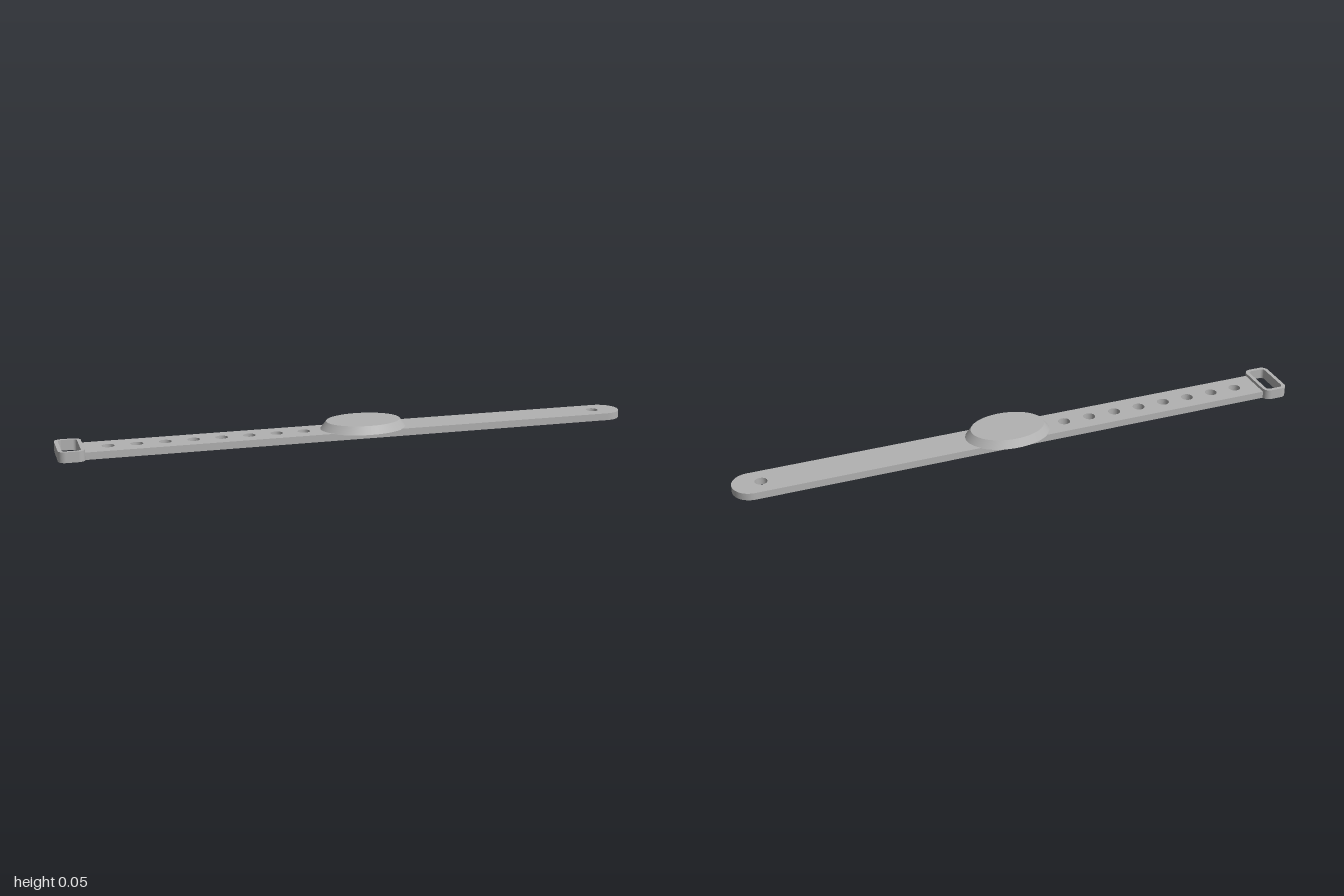
import * as THREE from 'three';

const grey = new THREE.MeshStandardMaterial({ color: 0xb2b2b2 });
grey.name = 'grey';

function circleHole(x, r) {
  return new THREE.Path().absarc(x, 0, r, 0, Math.PI * 2, true);
}

// Rounded rectangle centred on (cx, 0)
function roundedRect(path, cx, w, h, r) {
  const x0 = cx - w / 2, x1 = cx + w / 2, y = h / 2;
  path.moveTo(x0 + r, -y);
  path.lineTo(x1 - r, -y);
  path.absarc(x1 - r, -y + r, r, -Math.PI / 2, 0, false);
  path.lineTo(x1, y - r);
  path.absarc(x1 - r, y - r, r, 0, Math.PI / 2, false);
  path.lineTo(x0 + r, y);
  path.absarc(x0 + r, y - r, r, Math.PI / 2, Math.PI, false);
  path.lineTo(x0, -y + r);
  path.absarc(x0 + r, -y + r, r, Math.PI, Math.PI * 1.5, false);
  return path;
}

// Extrude a plan outline upward from y = 0
function plate(name, shape, height) {
  const geo = new THREE.ExtrudeGeometry(shape, { depth: height, bevelEnabled: false, curveSegments: 20 });
  geo.rotateX(-Math.PI / 2);
  const mesh = new THREE.Mesh(geo, grey);
  mesh.name = name;
  return mesh;
}

export function createModel() {
  const model = new THREE.Group();
  model.name = 'wristband';

  // Long strap with a round tip, a row of adjustment holes and one peg hole
  const half = 0.064;
  const strap = new THREE.Shape();
  strap.moveTo(-0.918, -half);
  strap.lineTo(1 - half, -half);
  strap.absarc(1 - half, 0, half, -Math.PI / 2, Math.PI / 2, false);
  strap.lineTo(-0.918, half);
  strap.closePath();
  for (let i = 0; i < 8; i++) strap.holes.push(circleHole(-0.83 + i * 0.095, 0.021));
  strap.holes.push(circleHole(0.903, 0.021));
  model.add(plate('strap', strap, 0.025));

  // Open buckle loop
  const buckle = roundedRect(new THREE.Shape(), -0.956, 0.088, 0.167, 0.024);
  buckle.holes.push(roundedRect(new THREE.Path(), -0.956, 0.062, 0.141, 0.012));
  model.add(plate('buckle', buckle, 0.036));

  // Oval face, tapering toward its flat top
  const geo = new THREE.CylinderGeometry(1, 1, 1, 64);
  const pos = geo.attributes.position;
  for (let i = 0; i < pos.count; i++) {
    const top = pos.getY(i) > 0;
    pos.setXYZ(i, pos.getX(i) * (top ? 0.13 : 0.151), top ? 0.051 : 0.023, pos.getZ(i) * (top ? 0.091 : 0.105));
  }
  geo.computeVertexNormals();
  const face = new THREE.Mesh(geo, grey);
  face.name = 'ovalFace';
  face.position.x = 0.045;
  model.add(face);

  return model;
}
